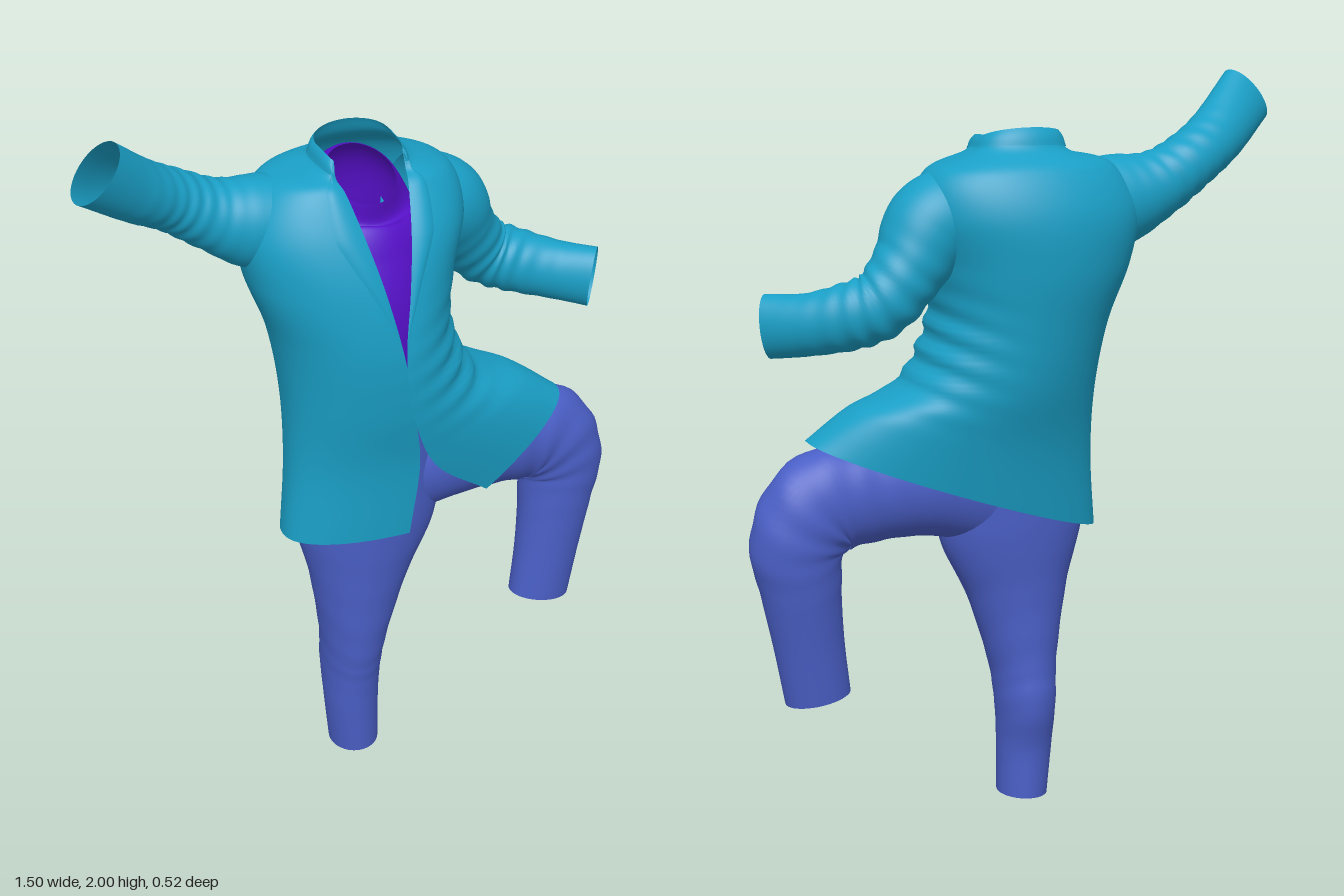
import * as THREE from 'three';
import { mergeVertices } from 'three/addons/utils/BufferGeometryUtils.js';

const TEAL = 0x1a9fc6, BLUE = 0x4a5fc6, PURPLE = 0x5610c8;
const bump = (d, w) => Math.exp(-(d * d) / (w * w));

// Catmull-Rom through rows of numbers, t in 0..1
function spline(rows, t) {
  const n = rows.length - 1;
  const i = Math.min(Math.floor(t * n), n - 1), f = t * n - i;
  return rows[0].map((_, k) => {
    const b = rows[i][k], c = rows[i + 1][k];
    const a = i > 0 ? rows[i - 1][k] : 2 * b - c;
    const d = i + 2 <= n ? rows[i + 2][k] : 2 * c - b;
    return b + 0.5 * f * (c - a + f * (2 * a - 5 * b + 4 * c - d + f * (3 * (b - c) + d - a)));
  });
}

// Smooth cloth surface from a rule fn(u, v) -> Vector3
function cloth(name, color, fn, nu, nv) {
  const pos = [], index = [];
  for (let j = 0; j <= nv; j++)
    for (let i = 0; i <= nu; i++) pos.push(...fn(i / nu, j / nv).toArray());
  for (let j = 0; j < nv; j++)
    for (let i = 0; i < nu; i++) {
      const a = j * (nu + 1) + i, b = a + 1, c = a + nu + 1, d = c + 1;
      index.push(a, b, d, a, d, c);
    }
  let geo = new THREE.BufferGeometry();
  geo.setAttribute('position', new THREE.Float32BufferAttribute(pos, 3));
  geo.setIndex(index);
  geo = mergeVertices(geo, 1e-5);
  geo.computeVertexNormals();
  const mesh = new THREE.Mesh(geo, new THREE.MeshStandardMaterial({ color, side: THREE.DoubleSide }));
  mesh.name = name;
  return mesh;
}

// Open tube through rows [x, y, z, half width, half depth], creased around v = foldAt
function tube(name, color, rows, foldAt = 0.5, fold = 0) {
  const centre = (t) => new THREE.Vector3(...spline(rows, t).slice(0, 3));
  return cloth(name, color, (u, v) => {
    const [x, y, z, a, b] = spline(rows, v);
    const T = centre(Math.min(v + 0.01, 1)).sub(centre(Math.max(v - 0.01, 0))).normalize();
    const W = new THREE.Vector3(0, 0, 1).addScaledVector(T, -T.z).normalize();
    const U = W.clone().cross(T);
    const ang = (u % 1) * Math.PI * 2;
    const k = 1 + fold * bump(v - foldAt, 0.2) * Math.sin(v * 75 + 4 * Math.sin(ang));
    return new THREE.Vector3(x, y, z)
      .addScaledVector(U, a * k * Math.cos(ang)).addScaledVector(W, b * k * Math.sin(ang));
  }, 48, 72);
}

// Jacket rows, hem to collar: right side xy, left side xy, side z, back z, back lift,
// right front edge xyz, left front edge xyz
const JACKET = [
  [-0.235, 0.77, 0.575, 1.06, 0.04, -0.13, -0.01, 0.08, 0.78, 0.18, 0.31, 0.86, 0.17],
  [-0.215, 0.98, 0.46, 1.14, 0.03, -0.165, 0, 0.10, 1.0, 0.195, 0.14, 1.0, 0.215],
  [-0.215, 1.18, 0.31, 1.21, 0.02, -0.205, 0, 0.07, 1.18, 0.225, 0.06, 1.18, 0.245],
  [-0.24, 1.36, 0.235, 1.37, 0, -0.235, 0, 0.035, 1.36, 0.235, 0.035, 1.36, 0.25],
  [-0.295, 1.52, 0.25, 1.52, -0.02, -0.26, 0, -0.005, 1.53, 0.21, 0.055, 1.53, 0.22],
  [-0.31, 1.66, 0.29, 1.66, -0.04, -0.26, 0, -0.04, 1.66, 0.165, 0.075, 1.66, 0.175],
  [-0.24, 1.775, 0.26, 1.765, -0.05, -0.215, 0, -0.07, 1.77, 0.10, 0.095, 1.77, 0.105],
  [-0.12, 1.81, 0.14, 1.815, -0.05, -0.145, 0.01, -0.082, 1.80, 0.06, 0.105, 1.80, 0.06],
  [-0.095, 1.855, 0.11, 1.855, -0.05, -0.118, 0.022, -0.08, 1.84, 0.04, 0.105, 1.84, 0.04],
];

// u runs from the left front edge around the back to the right front edge
function jacketPoint(u, v, lift = 0) {
  const [rx, ry, lx, ly, sz, bz, up, ax, ay, az, bx, by, bzf] = spline(JACKET, v);
  const p = new THREE.Vector3();
  if (u < 0.25 || u > 0.75) {
    const left = u < 0.25;
    const a = (left ? u : 1 - u) * 2 * Math.PI; // 0 at the edge, quarter turn at the side
    const S = left ? [lx, ly] : [rx, ry], E = left ? [bx, by, bzf] : [ax, ay, az];
    const s = Math.sin(a);
    p.set(E[0] + (S[0] - E[0]) * s, E[1] + (S[1] - E[1]) * s,
      sz + (E[2] - sz) * Math.pow(Math.max(Math.cos(a), 0), 0.9));
  } else {
    const a = (u - 0.25) * 2 * Math.PI, c = (1 - Math.cos(a)) / 2, s = Math.max(Math.sin(a), 0);
    p.set(lx + (rx - lx) * c, ly + (ry - ly) * c + up * s, sz + (bz - sz) * Math.pow(s, 0.85));
  }
  // Creases at the raised hip
  const fold = 0.009 * bump(p.x - 0.27, 0.13) * bump(p.y - 1.3, 0.12) * Math.sin(p.y * 85 - p.x * 30);
  const out = new THREE.Vector3(p.x - 0.01, 0, p.z + 0.03).normalize();
  return p.addScaledVector(out, fold + lift);
}

export function createModel() {
  const model = new THREE.Group();
  model.name = 'outfit';

  // Jacket body, open at the front
  const jacket = new THREE.Group();
  jacket.name = 'jacket';
  jacket.add(cloth('jacketBody', TEAL, (u, v) => jacketPoint(u, v), 112, 90));

  // Lapels turned back along the neckline, tapering to the closure
  for (const left of [true, false]) {
    jacket.add(cloth(left ? 'leftLapel' : 'rightLapel', TEAL, (u, v) => {
      const grow = Math.min(1, v * 2.2), w = 0.045 * grow * u;
      return jacketPoint(left ? w : 1 - w, 0.4 + 0.52 * v, 0.01 * grow * Math.sin(u * Math.PI * 0.85));
    }, 8, 40));
  }

  // Collar folded over around the neck
  jacket.add(cloth('collar', TEAL, (u, v) =>
    jacketPoint(u, 1 - 0.1 * v, 0.007 * Math.sin(v * Math.PI * 0.8)), 64, 10));

  // Sleeves, shoulder to cuff
  jacket.add(tube('rightSleeve', TEAL, [
    [-0.14, 1.65, -0.05, 0.12, 0.12], [-0.27, 1.672, -0.05, 0.122, 0.11],
    [-0.38, 1.71, -0.055, 0.092, 0.088], [-0.48, 1.768, -0.045, 0.08, 0.08],
    [-0.58, 1.83, 0, 0.082, 0.072], [-0.698, 1.925, 0.075, 0.088, 0.052],
  ], 0.55, 0.025));
  jacket.add(tube('leftSleeve', TEAL, [
    [0.16, 1.67, -0.05, 0.12, 0.12], [0.255, 1.625, -0.06, 0.125, 0.12],
    [0.325, 1.53, -0.085, 0.10, 0.098], [0.40, 1.445, -0.10, 0.09, 0.082],
    [0.48, 1.41, -0.08, 0.088, 0.077], [0.58, 1.385, -0.03, 0.082, 0.065],
    [0.67, 1.375, 0.035, 0.085, 0.055],
  ], 0.55, 0.04));
  model.add(jacket);

  // Undershirt with a scooped neck
  model.add(tube('undershirt', PURPLE, [
    [0.03, 1.15, 0, 0.17, 0.18], [0.01, 1.40, -0.01, 0.19, 0.215],
    [0, 1.58, -0.03, 0.20, 0.195], [0.01, 1.69, -0.045, 0.15, 0.155],
    [0.012, 1.77, -0.01, 0.09, 0.105],
  ]));

  // Trousers: standing leg up to the waist, and raised leg bent at the knee
  const trousers = new THREE.Group();
  trousers.name = 'trousers';
  trousers.add(tube('standingLeg', BLUE, [
    [-0.022, 0.003, 0.02, 0.07, 0.08], [-0.03, 0.15, 0.023, 0.077, 0.086],
    [-0.03, 0.28, 0.016, 0.084, 0.105], [-0.026, 0.4, 0.028, 0.096, 0.108],
    [-0.012, 0.6, 0.035, 0.143, 0.115], [0.005, 0.78, 0.033, 0.205, 0.127],
    [0.02, 0.95, 0.03, 0.20, 0.13], [0.03, 1.1, 0.02, 0.17, 0.14],
  ], 0.4, 0.006));
  trousers.add(tube('raisedLeg', BLUE, [
    [0.06, 0.90, 0.02, 0.16, 0.11], [0.25, 0.925, 0.02, 0.145, 0.12],
    [0.42, 0.92, 0.01, 0.14, 0.112], [0.55, 0.895, 0, 0.145, 0.105],
    [0.615, 0.80, -0.005, 0.13, 0.10], [0.61, 0.68, -0.002, 0.11, 0.093],
    [0.59, 0.52, 0.005, 0.096, 0.08], [0.567, 0.36, 0.01, 0.09, 0.07],
  ], 0.45, 0.02));
  model.add(trousers);
  return model;
}
